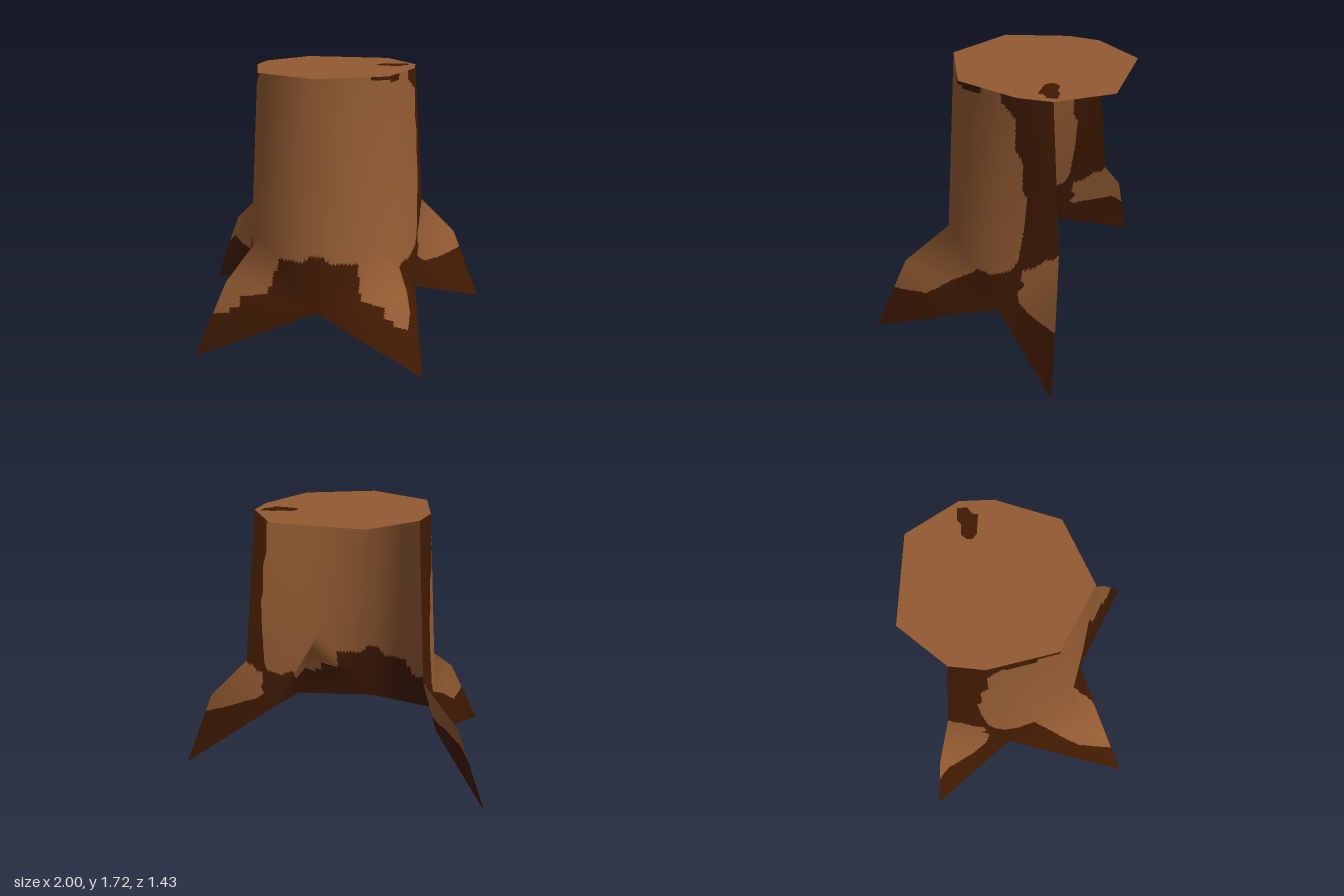
import * as THREE from 'three';

const TOP = 1.722;

// Corner points of the left half: ridges run top to root tip, valleys have two ends
const HALF = [
  [0.512, TOP, -0.413], [0.577, 0.76, -0.49], [0.81, 0.515, -0.55], [1.0, 0.015, -0.59], // 0-3 back ridge
  [0.41, TOP, 0.2], [0.388, 0.685, 0.31], [0.545, 0.455, 0.56], [0.715, 0, 0.715], // 4-7 front ridge
  [0.528, TOP, -0.203], [0.585, 0.25, -0.1], // 8-9 side valley
  [0, TOP, 0.4], [0, 0.215, 0.4], // 10-11 front centre
];
const mirror = ([x, y, z]) => [-x, y, z];
const POINTS = [...HALF, ...HALF.slice(0, 10).map(mirror)];
const mirrored = (i) => (i < 10 ? i + 12 : i);

// Faces between a ridge and a valley
function strip(ridge, valley, front, flip) {
  const [a, b, c, d] = [0, 1, 2, 3].map((k) => ridge + k);
  const [t, l] = [valley, valley + 1];
  return [[a, t, b], [b, t, l], [b, l, c], [c, l, d]].map(([p, q, r]) => ({
    corners: flip ? [p, r, q] : [p, q, r], front,
  }));
}
const LEFT = [...strip(0, 8, false, false), ...strip(4, 8, false, true), ...strip(4, 10, true, false)];
const RIGHT = LEFT.map(({ corners: [p, q, r], front }) => ({ corners: [p, r, q].map(mirrored), front }));
const FACES = [...LEFT, ...RIGHT];

// Light bark on the flanks, as outlines in (z, y)
const FLANK = [
  [-0.09, 1.8], [-0.1, 1.67], [-0.2, 1.59], [-0.2, 1.4], [-0.25, 1.33], [-0.25, 1.15], [-0.28, 1.1],
  [-0.26, 0.85], [-0.23, 0.65], [-0.18, 0.57], [-0.03, 0.48], [0.08, 0.47], [0.1, 0.44], [0.25, 0.37],
  [0.3, 0.33], [0.4, 0.27], [0.9, 0.27], [0.9, 1.8],
];
const BACK_ROOT = [
  [-0.5, 0.78], [-0.46, 0.72], [-0.4, 0.7], [-0.34, 0.63], [-0.26, 0.59], [-0.25, 0.52],
  [-0.28, 0.48], [-0.23, 0.43], [-0.25, 0.385], [-0.4, 0.38], [-0.5, 0.39],
];
const LEFT_ROOT = [...BACK_ROOT, [-0.7, 0.41], [-0.7, 0.78]];
const RIGHT_ROOT = [...BACK_ROOT, [-0.54, 0.35], [-0.6, 0.26], [-0.7, 0.78]];

function inside(poly, px, py) {
  let hit = false;
  for (let i = 0, j = poly.length - 1; i < poly.length; j = i++) {
    const [xi, yi] = poly[i], [xj, yj] = poly[j];
    if ((yi > py) !== (yj > py) && px < ((xj - xi) * (py - yi)) / (yj - yi) + xi) hit = !hit;
  }
  return hit;
}

// Upper limit of the dark stain on the front face: [half width, height]
const FRONT_STAIN = [
  [0.05, 0.6], [0.08, 0.57], [0.26, 0.55], [0.28, 0.48], [0.3, 0.4], [0.46, 0.36], [0.52, 0.29], [1, 0.26],
];

// Stains hanging from the rim
function rimStain({ x, y, z }) {
  if (x > 0) return x > 0.3 && z > 0.04 && z < 0.25 && y > (z > 0.17 ? 1.7 : 1.685);
  return x < -0.4 && z > -0.1 && y > (z < 0.08 ? 1.64 : 1.69);
}

function isDark(p, front) {
  if (rimStain(p)) return true;
  if (front) return p.y < FRONT_STAIN.find(([w]) => Math.abs(p.x) < w)[1];
  return !inside(FLANK, p.z, p.y) && !inside(p.x > 0 ? LEFT_ROOT : RIGHT_ROOT, p.z, p.y);
}

// Open bark shell, finely divided so the stains follow their outlines
function barkGeometry() {
  const coarse = new THREE.BufferGeometry();
  coarse.setAttribute('position', new THREE.Float32BufferAttribute(POINTS.flat(), 3));
  coarse.setIndex(FACES.flatMap((f) => f.corners));
  coarse.computeVertexNormals();

  const N = 50;
  const pos = [], nor = [], light = [], dark = [];
  for (const { corners, front } of FACES) {
    const read = (attr) => corners.map((k) => new THREE.Vector3().fromBufferAttribute(attr, k));
    const P = read(coarse.attributes.position), Q = read(coarse.attributes.normal);
    const blend = (V, u, v) => V[0].clone().multiplyScalar(1 - u - v).addScaledVector(V[1], u).addScaledVector(V[2], v);
    const base = pos.length / 3;
    // rows shrink by one point as i grows
    const at = (i, j) => base + i * (N + 1) - (i * (i - 1)) / 2 + j;
    const put = (a, b, c, u, v) => (isDark(blend(P, u / N, v / N), front) ? dark : light).push(a, b, c);
    for (let i = 0; i <= N; i++) {
      for (let j = 0; j <= N - i; j++) {
        pos.push(...blend(P, i / N, j / N).toArray());
        nor.push(...blend(Q, i / N, j / N).normalize().toArray());
        if (i + j < N) put(at(i, j), at(i + 1, j), at(i, j + 1), i + 1 / 3, j + 1 / 3);
        if (i + j < N - 1) put(at(i + 1, j), at(i + 1, j + 1), at(i, j + 1), i + 2 / 3, j + 2 / 3);
      }
    }
  }
  const geo = new THREE.BufferGeometry();
  geo.setAttribute('position', new THREE.Float32BufferAttribute(pos, 3));
  geo.setAttribute('normal', new THREE.Float32BufferAttribute(nor, 3));
  geo.setIndex([...light, ...dark]);
  geo.addGroup(0, light.length, 0);
  geo.addGroup(light.length, dark.length, 1);
  return geo;
}

// Flat outline given in (x, z)
const outline = (pts) => new THREE.Shape(pts.map(([x, z]) => new THREE.Vector2(x, -z)));

export function createModel() {
  const lightBark = new THREE.MeshStandardMaterial({ color: 0x925b32, side: THREE.DoubleSide });
  lightBark.name = 'lightBark';
  const darkBark = new THREE.MeshStandardMaterial({ color: 0x401a02, side: THREE.DoubleSide });
  darkBark.name = 'darkBark';

  const group = new THREE.Group();
  group.name = 'treeStump';
  const add = (name, geo, mat) => {
    const mesh = new THREE.Mesh(geo, mat);
    mesh.name = name;
    group.add(mesh);
  };

  // Trunk wall with four spreading roots
  add('barkAndRoots', barkGeometry(), [lightBark, darkBark]);

  // Cut top, overhanging the open back
  const rim = [0, 8, 4, 10, 16, 20, 12].map((k) => [POINTS[k][0], POINTS[k][2]]);
  const cap = new THREE.ShapeGeometry(outline([...rim, [-0.285, -0.715], [0.285, -0.715]]));
  cap.rotateX(-Math.PI / 2).translate(0, TOP, 0);
  add('cutTop', cap, lightBark);

  // Dark knot, a thin plate showing on both sides of the top
  const knot = new THREE.ExtrudeGeometry(outline([
    [0.265, -0.35], [0.29, -0.385], [0.36, -0.39], [0.385, -0.415], [0.465, -0.42],
    [0.47, -0.36], [0.43, -0.33], [0.43, -0.295], [0.3, -0.295], [0.265, -0.32],
  ]), { depth: 0.003, bevelEnabled: false });
  knot.rotateX(-Math.PI / 2).translate(0, TOP - 0.0015, 0);
  add('topKnot', knot, darkBark);

  return group;
}
